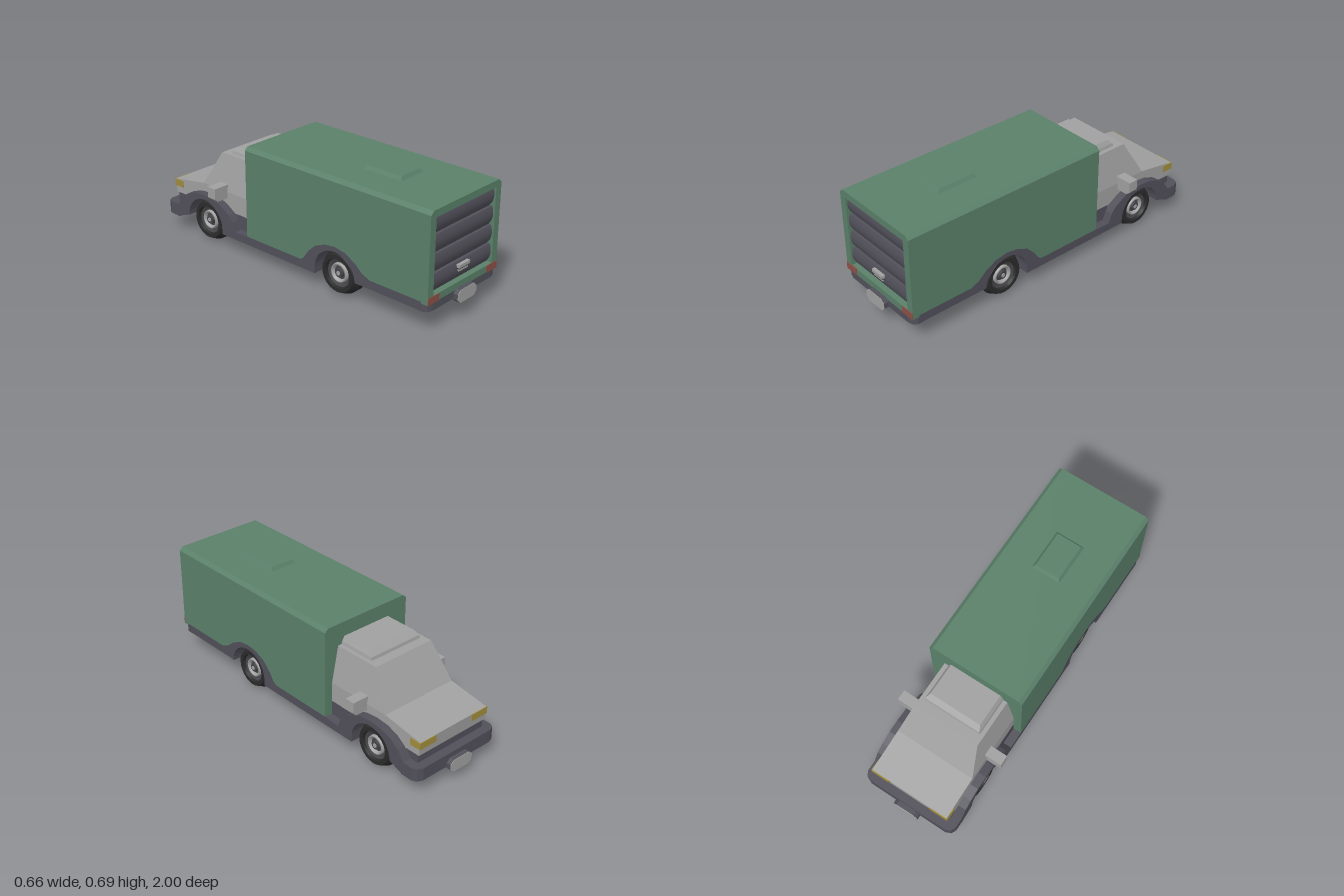
import * as THREE from 'three';
import { ConvexGeometry } from 'three/addons/geometries/ConvexGeometry.js';

const mat = (name, color) => {
  const m = new THREE.MeshStandardMaterial({ color });
  m.name = name;
  return m;
};

export function createModel() {
  const green = mat('green paint', 0x5a8069);
  const grey = mat('light grey', 0xa0a0a0);
  const dark = mat('dark trim', 0x51505a);
  const black = mat('tyre black', 0x2b2b2b);
  const rimGrey = mat('rim grey', 0x45454a);
  const red = mat('tail red', 0x8c5046);
  const yellow = mat('lamp yellow', 0xa08c3c);

  const root = new THREE.Group();
  root.name = 'boxTruck';
  const add = (name, geo, m, parent = root) => {
    const mesh = new THREE.Mesh(geo, m);
    mesh.name = name;
    parent.add(mesh);
    return mesh;
  };
  const shapeOf = (pts) => new THREE.Shape(pts.map((p) => new THREE.Vector2(p[0], p[1])));
  const extrude = (shape, depth) => new THREE.ExtrudeGeometry(shape, { depth, bevelEnabled: false });
  // side profile of (z, y) points, extruded across x = -half..half
  const across = (pts, half) =>
    extrude(shapeOf(pts), half * 2).rotateY(-Math.PI / 2).translate(half, 0, 0);
  // plan of (x, z) points, extruded up from y0 to y1
  const upward = (pts, y0, y1) =>
    extrude(shapeOf(pts.map(([x, z]) => [x, -z])), y1 - y0).rotateX(-Math.PI / 2).translate(0, y0, 0);
  const box = (x0, x1, y0, y1, z0, z1) =>
    new THREE.BoxGeometry(x1 - x0, y1 - y0, z1 - z0).translate((x0 + x1) / 2, (y0 + y1) / 2, (z0 + z1) / 2);
  // tapered block between two levels: half width, back z, front z, y
  const frustum = (a, b) =>
    new ConvexGeometry([a, b].flatMap(([w, z0, z1, y]) =>
      [[-w, z0], [w, z0], [w, z1], [-w, z1]].map(([x, z]) => new THREE.Vector3(x, y, z))));

  const W = 0.288, REAR = 0.36, FRONT = -0.635, AXLE = 0.126;
  const wheelHole = (zc) => Array.from({ length: 17 }, (_, i) => {
    const a = (i / 16) * Math.PI;
    return [zc + 0.14 * Math.cos(a), AXLE + 0.135 * Math.sin(a)];
  });
  const rearArch = [[0.6, 0.18], [0.55, 0.2], [0.5, 0.243], [0.43, 0.279], [0.36, 0.29],
    [0.29, 0.281], [0.22, 0.25], [0.17, 0.2], [0.14, 0.155], [0.12, 0.14]];
  const frontArch = [[-0.41, 0.19], [-0.44, 0.225], [-0.5, 0.262], [-0.56, 0.283], [-0.635, 0.29],
    [-0.71, 0.283], [-0.78, 0.258], [-0.83, 0.222], [-0.87, 0.165]];

  // cargo box
  const section = [[-W, 0.29], [W, 0.29], [W, 0.65], [0.267, 0.67], [-0.267, 0.67], [-W, 0.65]];
  add('cargoBox', extrude(shapeOf(section), 1.22).translate(0, 0, -0.29), green);
  add('cargoLowerSides', across([[0.93, 0.29], [0.93, 0.18], ...rearArch, [-0.29, 0.14], [-0.29, 0.29]], W), green);
  const frame = shapeOf(section.map(([x, y]) => [x, y === 0.29 ? 0.17 : y]));
  frame.holes.push(new THREE.Path(
    [[-0.245, 0.21], [-0.245, 0.63], [0.245, 0.63], [0.245, 0.21]].map((p) => new THREE.Vector2(...p))));
  add('doorFrame', extrude(frame, 0.04).translate(0, 0, 0.93), green);
  add('roofHatch', frustum([0.088, 0.38, 0.63, 0.668], [0.073, 0.395, 0.615, 0.69]), green);

  // roller door with bulging slats
  for (let i = 0; i < 4; i++) {
    const top = 0.63 - i * 0.105;
    const curve = new THREE.QuadraticBezierCurve(
      new THREE.Vector2(0.952, top), new THREE.Vector2(0.975, top - 0.06), new THREE.Vector2(0.935, top - 0.105));
    const pts = curve.getPoints(10).map((p) => [p.x, p.y]);
    add('doorSlat', across([...pts, [0.925, top - 0.105], [0.925, top]], 0.245), dark);
  }
  add('doorHandle', box(-0.045, 0.045, 0.285, 0.303, 0.94, 0.975), grey);
  add('handleGap', box(-0.045, 0.045, 0.28, 0.286, 0.94, 0.973), black);
  add('handlePlate', box(-0.038, 0.038, 0.264, 0.281, 0.94, 0.968), grey);

  // chassis, arches and bumpers
  add('archBand', across([[0.93, 0.13], [0.93, 0.18], ...rearArch, [-0.29, 0.14], [-0.39, 0.135],
    ...frontArch, [-0.87, 0.09], ...wheelHole(FRONT).reverse(), [FRONT + 0.14, 0.09],
    [REAR - 0.14, 0.09], ...wheelHole(REAR).reverse(), [0.5, 0.13]], W), dark);
  add('chassisCore', box(-0.155, 0.155, 0.087, 0.27, -0.85, 0.55), dark);
  add('cabSkirt', box(-0.24, 0.24, 0.12, 0.221, -0.42, -0.29), dark);
  add('lowerGrille', box(-0.235, 0.235, 0.15, 0.222, -0.92, -0.82), dark);
  add('frontBumper', upward([[-W, -0.86], [W, -0.86], [W, -0.93], [0.275, -0.957], [0.245, -0.97],
    [-0.245, -0.97], [-0.275, -0.957], [-W, -0.93]], 0.09, 0.165), dark);
  add('rearBumper', upward([[-W, 0.9], [-W, 0.94], [-0.275, 0.96], [-0.245, 0.97],
    [0.245, 0.97], [0.275, 0.96], [W, 0.94], [W, 0.9]], 0.128, 0.171), dark);

  // octagonal plates on dark mounts
  const plateShape = shapeOf([[-0.055, -0.036], [0.055, -0.036], [0.077, -0.016], [0.077, 0.016],
    [0.055, 0.036], [-0.055, 0.036], [-0.077, 0.016], [-0.077, -0.016]]);
  [[1, 0.142], [-1, 0.1]].forEach(([side, y]) => {
    const plate = new THREE.Group();
    plate.name = side > 0 ? 'rearPlate' : 'frontPlate';
    add('plateMount', extrude(plateShape, 0.035).translate(0, 0, -0.038), dark, plate);
    add('plateFace', extrude(plateShape, 0.003).translate(0, 0, -0.003), grey, plate);
    plate.position.set(0, y, side);
    if (side < 0) plate.rotation.y = Math.PI;
    root.add(plate);
  });

  // cab
  add('cabBody', across([[-0.29, 0.335], [-0.29, 0.22], [-0.435, 0.22], ...frontArch.slice(1, 8),
    [-0.835, 0.215], [-0.93, 0.215], [-0.935, 0.295], [-0.69, 0.335]], 0.24), grey);
  add('cabTop', frustum([0.24, -0.69, -0.29, 0.335], [0.198, -0.57, -0.29, 0.543]), grey);
  add('roofFairing', new ConvexGeometry([-1, 1].flatMap((s) => [
    [0.175, 0.54, -0.29], [0.175, 0.54, -0.515], [0.17, 0.56, -0.51], [0.155, 0.585, -0.29],
    [0.155, 0.585, -0.48], [0.17, 0.56, -0.29]].map(([x, y, z]) => new THREE.Vector3(s * x, y, z)))), grey);

  [-1, 1].forEach((s) => {
    const span = (a, b) => (s > 0 ? [a, b] : [-b, -a]);
    add('headlight', box(...span(0.13, 0.244), 0.255, 0.295, -0.939, -0.87), yellow);
    add('tailLight', box(...span(0.2, W), 0.17, 0.21, 0.966, 0.973), red);
    const mirror = shapeOf([[0.22, 0.297], [0.312, 0.297], [0.332, 0.315], [0.332, 0.378], [0.22, 0.378]]
      .map(([x, y]) => [s * x, y]));
    add('mirror', extrude(mirror, 0.06).translate(0, 0, -0.555), grey);
  });

  // wheels, turned around the x axis with the outer face at +x
  const turned = (pts, n = 24) =>
    new THREE.LatheGeometry(pts.map((p) => new THREE.Vector2(p[0], p[1])), n).rotateZ(-Math.PI / 2);
  const tyre = turned([[0, -0.066], [0.106, -0.066], [0.106, -0.066], [0.126, -0.025], [0.126, -0.025],
    [0.126, 0.025], [0.126, 0.025], [0.106, 0.066], [0.106, 0.066], [0.084, 0.066], [0.084, 0.066], [0.078, 0.045]]);
  const rim = turned([[0.08, 0.05], [0.06, 0.04], [0.06, 0.04], [0, 0.04]]);
  const ring = turned([[0.056, 0.038], [0.054, 0.055], [0.046, 0.058], [0.038, 0.04]]);
  const cap = turned([[0.026, 0.038], [0.024, 0.056], [0.024, 0.056], [0, 0.056]]);
  const bolt = turned([[0.013, 0.05], [0.012, 0.06], [0.012, 0.06], [0, 0.06]], 12);
  [REAR, FRONT].forEach((z) => [-1, 1].forEach((s) => {
    const wheel = new THREE.Group();
    wheel.name = 'wheel';
    add('tyre', tyre, black, wheel);
    add('rim', rim, rimGrey, wheel);
    add('hubRing', ring, grey, wheel);
    add('hubCap', cap, rimGrey, wheel);
    add('hubCentre', bolt, grey, wheel);
    wheel.position.set(s * 0.199, AXLE, z);
    if (s < 0) wheel.rotation.y = Math.PI;
    root.add(wheel);
  }));
  [black, rimGrey, grey].forEach((m) => { m.side = THREE.DoubleSide; });
  return root;
}
